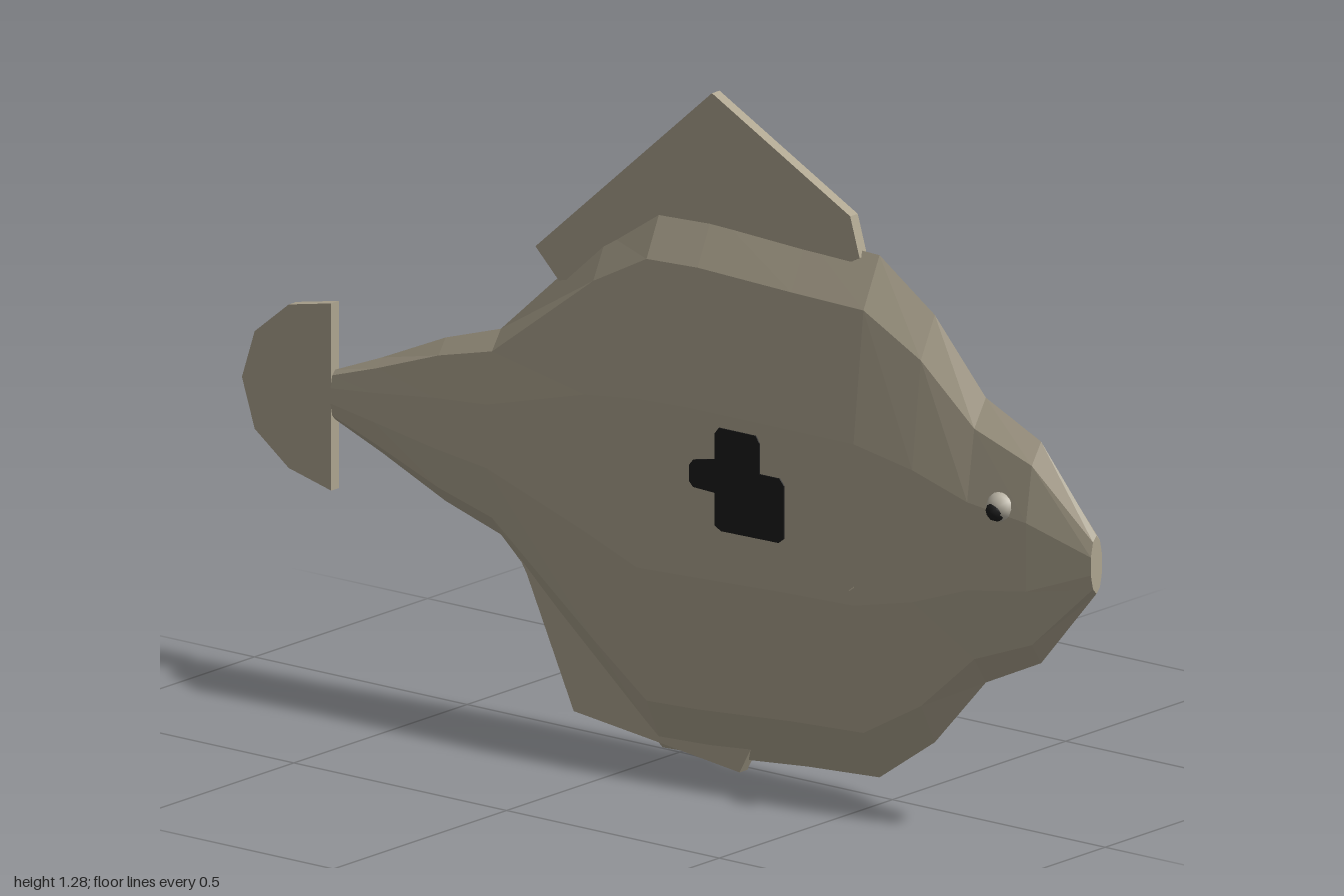
import * as THREE from 'three';
import { ConvexGeometry } from 'three/addons/geometries/ConvexGeometry.js';

const MID = 0.025; // z of the fish's middle plane

const skin = new THREE.MeshStandardMaterial({ color: 0xaea590 });
skin.name = 'skin';
const dark = new THREE.MeshStandardMaterial({ color: 0x1b1b1b });
dark.name = 'dark';
const pale = new THREE.MeshStandardMaterial({ color: 0xbdb7a8 });
pale.name = 'eyePale';

function mesh(name, geometry, material) {
  const m = new THREE.Mesh(geometry, material);
  m.name = name;
  return m;
}

// Flat plate centred on z, from an outline of [x, y] points
function plate(points, thickness, z) {
  const shape = new THREE.Shape(points.map(([x, y]) => new THREE.Vector2(x, y)));
  const g = new THREE.ExtrudeGeometry(shape, { depth: thickness, bevelEnabled: false });
  return g.translate(0, 0, z - thickness / 2);
}

// Faceted ten-sided loft; each section is [x, top, bottom, half thickness]
function bodyGeometry() {
  const sections = [
    [-0.79, 0.592, 0.498, 0.014],
    [-0.68, 0.635, 0.455, 0.024],
    [-0.53, 0.7, 0.39, 0.035],
    [-0.4, 0.74, 0.35, 0.044],
    [-0.15, 0.965, 0.125, 0.069],
    [-0.02, 1.05, 0.015, 0.079],
    [0.1, 1.055, 0.02, 0.079],
    [0.32, 1.045, 0.04, 0.079],
    [0.49, 1.04, 0.05, 0.079],
    [0.62, 0.95, 0.14, 0.069],
    [0.74, 0.815, 0.275, 0.057],
    [0.87, 0.755, 0.335, 0.046],
    [1.0, 0.6, 0.49, 0.017],
  ];
  const sides = 10, pos = [], index = [];
  for (const [x, top, bottom, half] of sections) {
    for (let j = 0; j < sides; j++) {
      const a = (j / sides) * Math.PI * 2;
      pos.push(x, (top + bottom) / 2 + ((top - bottom) / 2) * Math.cos(a), MID + half * Math.sin(a));
    }
  }
  const last = (sections.length - 1) * sides;
  for (let j = 0; j < sides; j++) {
    const k = (j + 1) % sides;
    for (let r = 0; r < last; r += sides) {
      index.push(r + j, r + k, r + sides + k, r + j, r + sides + k, r + sides + j);
    }
    // End caps
    if (j > 0 && k > 0) index.push(last, last + j, last + k, 0, k, j);
  }
  const indexed = new THREE.BufferGeometry();
  indexed.setAttribute('position', new THREE.Float32BufferAttribute(pos, 3));
  indexed.setIndex(index);
  const g = indexed.toNonIndexed();
  g.computeVertexNormals();
  return g;
}

export function createModel() {
  const fish = new THREE.Group();
  fish.name = 'flatFish';
  fish.add(mesh('body', bodyGeometry(), skin));

  // Fins lying in the middle plane
  const fins = {
    dorsalFin: [[-0.255, 0.86], [-0.31, 0.915], [0.105, 1.28], [0.43, 1.105], [0.452, 1.03], [0.3, 0.95], [-0.1, 0.9]],
    analFin: [[-0.38, 0.37], [-0.33, 0.29], [-0.22, 0.05], [-0.03, 0.028], [0.17, 0.004], [0.2, 0.06], [0, 0.25]],
    tailFin: [[-0.79, 0.72], [-0.89, 0.7], [-0.97, 0.635], [-1, 0.543], [-0.97, 0.45], [-0.89, 0.39], [-0.79, 0.365]],
  };
  for (const [name, outline] of Object.entries(fins)) {
    fish.add(mesh(name, plate(outline, 0.022, MID), skin));
  }

  // Pectoral fins: the right one stands out, the left one barely breaks the skin
  const v = (x, y, z) => new THREE.Vector3(x, y, z);
  fish.add(mesh('rightPectoralFin', new ConvexGeometry([
    v(0.345, 0.5, -0.068), v(0.375, 0.425, -0.105), v(0.49, 0.425, -0.046), v(0.36, 0.43, -0.044),
  ]), skin));
  fish.add(mesh('leftPectoralFin', new ConvexGeometry([
    v(0.47, 0.42, 0.09), v(0.495, 0.428, 0.104), v(0.48, 0.43, 0.09), v(0.48, 0.418, 0.102),
  ]), skin));

  // Dark flank patch and eye on each side
  const patch = [
    [0.165, 0.487], [0.18, 0.478], [0.315, 0.48], [0.328, 0.49], [0.328, 0.59], [0.318, 0.602],
    [0.27, 0.602], [0.27, 0.66], [0.262, 0.673], [0.175, 0.673], [0.165, 0.66], [0.165, 0.612],
    [0.115, 0.602], [0.105, 0.59], [0.105, 0.56], [0.115, 0.55], [0.165, 0.548],
  ];
  for (const side of [1, -1]) {
    const label = side > 0 ? 'left' : 'right';
    fish.add(mesh(label + 'FlankPatch', plate(patch, 0.004, MID + side * 0.0757), dark));
    const eye = mesh(label + 'Eye', new THREE.IcosahedronGeometry(0.03, 1), pale);
    eye.position.set(0.808, 0.63, MID + side * 0.036);
    const pupil = mesh(label + 'Pupil', new THREE.IcosahedronGeometry(0.021, 1), dark);
    pupil.position.set(0.806, 0.624, MID + side * 0.049);
    fish.add(eye, pupil);
  }
  return fish;
}
